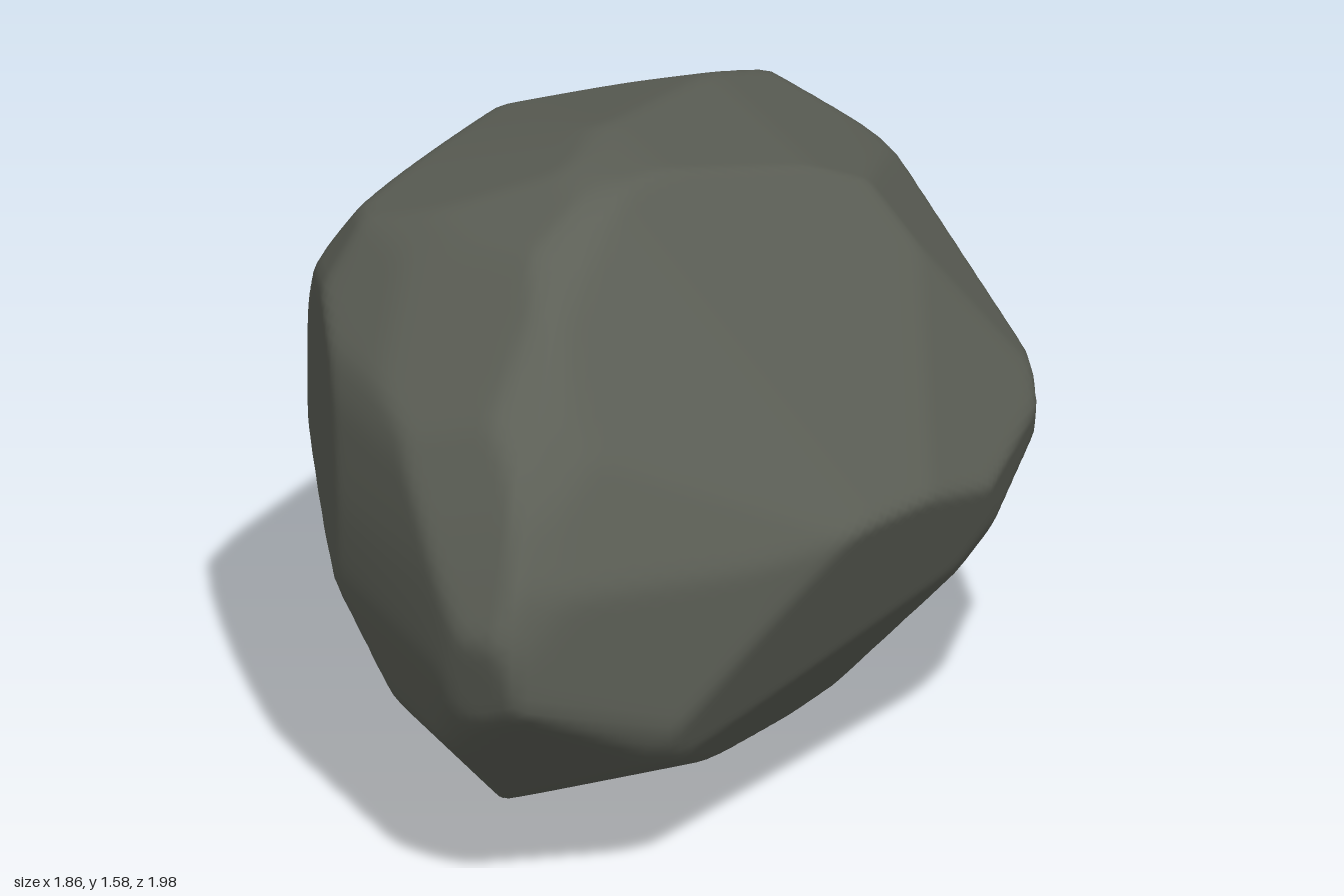
import * as THREE from 'three';
import { mergeVertices } from 'three/addons/utils/BufferGeometryUtils.js';

// Outlines of the boulder, as x, y pairs around its centre
const frontOutline = [-0.93, -0.13, -0.88, -0.37, -0.56, -0.73, -0.42, -0.76, -0.15, -0.8, 0.2, -0.8, 0.31, -0.78,
  0.84, -0.35, 0.9, -0.2, 0.935, -0.06, 0.93, -0.01, 0.77, 0.41, 0.73, 0.45, 0.36, 0.63, -0.1, 0.77, -0.26, 0.79,
  -0.34, 0.78, -0.6, 0.67, -0.7, 0.6, -0.88, 0.39, -0.91, 0.3, -0.935, 0.05];
const sideOutline = [-1, -0.07, -0.99, -0.2, -0.9, -0.4, -0.84, -0.46, -0.4, -0.7, -0.28, -0.76, -0.13, -0.8,
  0.14, -0.8, 0.22, -0.78, 0.39, -0.69, 0.78, -0.4, 0.94, -0.23, 1, 0.03, 0.97, 0.13, 0.8, 0.46, 0.63, 0.6,
  0.08, 0.77, -0.08, 0.79, -0.25, 0.79, -0.33, 0.77, -0.43, 0.73, -0.6, 0.6, -0.76, 0.44, -0.9, 0.25, -0.97, 0.1];
const topOutline = [-0.94, -0.22, -0.93, -0.8, -0.92, -0.9, -0.88, -0.97, -0.82, -1, -0.53, -0.93, 0.17, -0.81,
  0.27, -0.77, 0.6, -0.55, 0.74, -0.43, 0.8, -0.36, 0.86, -0.24, 0.93, 0.03, 0.93, 0.12, 0.8, 0.86, 0.77, 0.94,
  0.71, 1, 0.6, 0.96, -0.3, 0.82, -0.41, 0.8, -0.5, 0.75, -0.61, 0.65, -0.7, 0.5, -0.8, 0.18];
const longOutlineA = [-1.28, -0.13, -1.24, -0.3, -0.72, -0.65, -0.34, -0.72, 0.01, -0.75, 0.26, -0.73, 0.39, -0.71,
  0.94, -0.38, 1.06, -0.15, 1.18, 0.12, 1.17, 0.21, 1.01, 0.51, 0.92, 0.57, 0.3, 0.77, -0.02, 0.78, -0.23, 0.77,
  -0.54, 0.74, -1.02, 0.36, -1.16, 0.13];
const longOutlineB = [-1.18, -0.13, -1.04, -0.36, -0.54, -0.68, 0.35, -0.79, 0.63, -0.71, 0.73, -0.66, 1.03, -0.44,
  1.2, -0.18, 1.28, 0.11, 1.25, 0.24, 1.17, 0.35, 0.78, 0.63, 0.4, 0.77, -0.01, 0.76, -0.22, 0.72, -0.89, 0.42,
  -0.99, 0.27, -1.12, 0.03];
const endOutline = [-0.85, 0.14, -0.26, 0.82, 0.03, 0.9, 0.08, 0.89, 0.46, 0.73, 0.66, 0.54, 0.78, 0.39, 0.85, 0.25,
  0.89, 0.06, 0.85, -0.07, 0.72, -0.3, 0.48, -0.65, 0.22, -0.95, 0.17, -0.94, -0.33, -0.8, -0.57, -0.51, -0.78, -0.18];

// Broad oblique faces: normal x, y, z and distance from the centre
const facets = [
  [0.31, 0.63, 0.71, 0.64], // upper front
  [0.42, 0.65, 0.63, 0.60], // upper front left
  [0.20, 0.40, 0.90, 0.77], // front brow
  [0.59, 0.53, 0.61, 0.65], // front left shoulder
  [0.44, -0.36, 0.82, 0.72], // lower front left
  [0.41, -0.66, 0.63, 0.70], // front underside
  [0.70, -0.65, 0.29, 0.73], // left underside
  [-0.75, 0.55, -0.35, 0.92], // right shoulder
  [-0.50, 0.45, -0.74, 0.84], // upper back right
  [-0.24, 0.23, -0.94, 0.78], // back
];

// Each outline edge becomes a cutting plane that runs along the outline's axis
function cuttingPlanes(outline, azimuth, elevation) {
  const a = THREE.MathUtils.degToRad(azimuth), e = THREE.MathUtils.degToRad(elevation);
  const right = new THREE.Vector3(Math.cos(a), 0, -Math.sin(a));
  const up = new THREE.Vector3(-Math.sin(e) * Math.sin(a), Math.cos(e), -Math.sin(e) * Math.cos(a));
  const points = [];
  for (let i = 0; i < outline.length; i += 2) points.push(new THREE.Vector2(outline[i], outline[i + 1]));
  return points.map((p, i) => {
    const q = points[(i + 1) % points.length];
    const n = new THREE.Vector2(q.y - p.y, p.x - q.x).normalize();
    if (n.dot(p) + n.dot(q) < 0) n.negate();
    const distance = Math.max(...points.map((s) => s.dot(n)));
    return right.clone().multiplyScalar(n.x).addScaledVector(up, n.y).divideScalar(distance);
  });
}

export function createModel() {
  const group = new THREE.Group();
  group.name = 'boulder';
  const stone = new THREE.MeshStandardMaterial({ color: 0x5c5f56 });
  stone.name = 'grey green stone';

  const planes = [
    ...cuttingPlanes(frontOutline, 0, 0),
    ...cuttingPlanes(sideOutline, 90, 0),
    ...cuttingPlanes(topOutline, 0, 90),
    ...cuttingPlanes(longOutlineA, 35, 20),
    ...cuttingPlanes(longOutlineB, 215, 20),
    ...cuttingPlanes(endOutline, 145, -20),
    ...facets.map(([x, y, z, distance]) => new THREE.Vector3(x, y, z).normalize().divideScalar(distance)),
  ];

  // Pull a sphere in to the planes, with the edges between them softened
  let geometry = new THREE.IcosahedronGeometry(1, 40);
  geometry.deleteAttribute('uv');
  geometry.deleteAttribute('normal');
  geometry = mergeVertices(geometry, 1e-5);
  const position = geometry.attributes.position;
  const d = new THREE.Vector3();
  const sharpness = 220;
  for (let i = 0; i < position.count; i++) {
    d.fromBufferAttribute(position, i).normalize();
    let sum = 0;
    for (const plane of planes) sum += Math.max(0, plane.dot(d)) ** sharpness;
    d.multiplyScalar(sum ** (-1 / sharpness));
    position.setXYZ(i, d.x, d.y, d.z);
  }

  // Centre it and stand it on the ground
  geometry.center();
  geometry.computeBoundingBox();
  geometry.translate(0, -geometry.boundingBox.min.y, 0);
  geometry.computeVertexNormals();

  const rock = new THREE.Mesh(geometry, stone);
  rock.name = 'rock';
  group.add(rock);
  return group;
}
